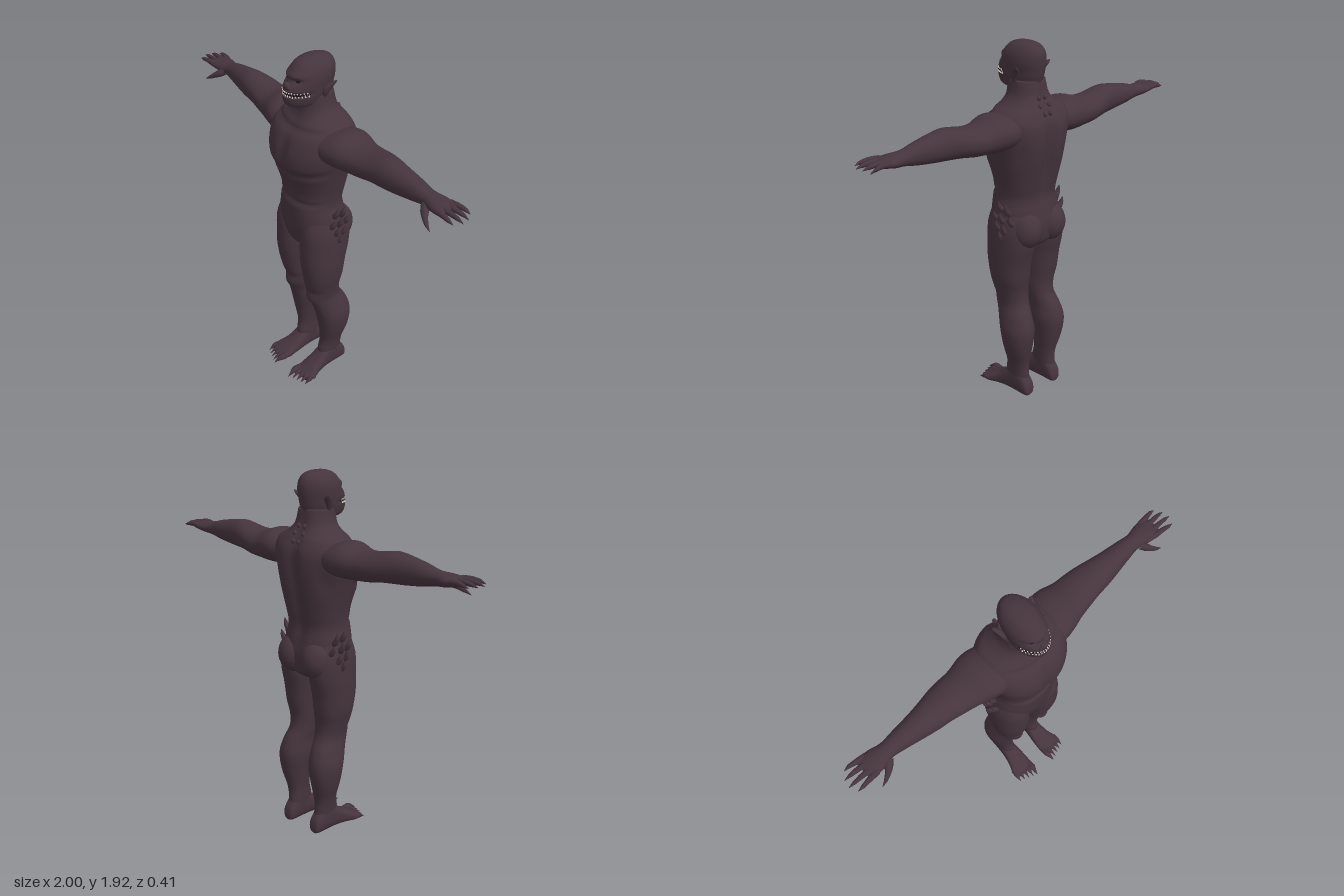
import * as THREE from 'three';
import { mergeVertices } from 'three/addons/utils/BufferGeometryUtils.js';

const bump = (v, centre, width) => Math.exp(-(((v - centre) / width) ** 2));
const V = (x, y, z) => new THREE.Vector3(x, y, z);

// Smooth body through cross-sections [t, uMin, uMax, vMin, vMax] in rising t.
// Axis x: u=y v=z, axis y: u=z v=x, axis z: u=x v=y.
function loft(axis, rows, { power = 2, warp, sides = 44, steps = 6 } = {}) {
  const at = (s) => {
    const i = Math.min(Math.floor(s), rows.length - 2), f = s - i;
    const row = (k) => rows[Math.max(0, Math.min(rows.length - 1, k))];
    return rows[0].map((_, d) => {
      const [a, b, c, e] = [row(i - 1)[d], row(i)[d], row(i + 1)[d], row(i + 2)[d]];
      return b + 0.5 * f * (c - a + f * (2 * a - 5 * b + 4 * c - e + f * (3 * (b - c) + e - a)));
    });
  };
  const place = (t, u, v) => {
    const p = axis === 'x' ? V(t, u, v) : axis === 'y' ? V(v, t, u) : V(u, v, t);
    if (warp) warp(p);
    return p;
  };
  const rounded = (c) => Math.sign(c) * Math.abs(c) ** (2 / power);
  const count = (rows.length - 1) * steps, points = [], index = [];
  for (let i = 0; i <= count; i++) {
    const [t, u0, u1, v0, v1] = at(i / steps);
    for (let j = 0; j < sides; j++) {
      const a = (j / sides) * Math.PI * 2;
      points.push(place(t, (u0 + u1) / 2 + rounded(Math.cos(a)) * (u1 - u0) / 2,
        (v0 + v1) / 2 + rounded(Math.sin(a)) * (v1 - v0) / 2));
      if (i < count) {
        const k = (j + 1) % sides, p = i * sides, q = p + sides;
        index.push(p + j, p + k, q + k, p + j, q + k, q + j);
      }
    }
  }
  // end caps
  [rows[0], rows[rows.length - 1]].forEach(([t, u0, u1, v0, v1], end) => {
    const c = points.push(place(t, (u0 + u1) / 2, (v0 + v1) / 2)) - 1, p = end * count * sides;
    for (let j = 0; j < sides; j++) {
      const k = (j + 1) % sides;
      index.push(c, p + (end ? j : k), p + (end ? k : j));
    }
  });
  const geo = new THREE.BufferGeometry().setFromPoints(points);
  geo.setIndex(index);
  geo.computeVertexNormals();
  return geo;
}

// Curved tube whose radius follows a short list, used for digits and spikes
function taper(points, radii, sides = 10) {
  const segs = 12, curve = new THREE.CatmullRomCurve3(points.map((p) => V(...p)));
  let geo = new THREE.TubeGeometry(curve, segs, 1, sides);
  const pos = geo.attributes.position, p = V(0, 0, 0);
  for (let i = 0; i < pos.count; i++) {
    const f = Math.floor(i / (sides + 1)) / segs, s = f * (radii.length - 1);
    const k = Math.min(Math.floor(s), radii.length - 2);
    const c = curve.getPointAt(f);
    p.fromBufferAttribute(pos, i).sub(c).multiplyScalar(THREE.MathUtils.lerp(radii[k], radii[k + 1], s - k)).add(c);
    pos.setXYZ(i, p.x, p.y, p.z);
  }
  geo.deleteAttribute('uv');
  geo.deleteAttribute('normal');
  geo = mergeVertices(geo, 1e-5);
  geo.computeVertexNormals();
  return geo;
}

function ball(c, r) {
  return new THREE.SphereGeometry(1, 28, 20).scale(...r).translate(...c);
}

function mirrored(geo) {
  const g = geo.clone().scale(-1, 1, 1), ix = g.index.array;
  for (let i = 0; i < ix.length; i += 3) [ix[i], ix[i + 1]] = [ix[i + 1], ix[i]];
  g.computeVertexNormals();
  return g;
}

export function createModel() {
  const root = new THREE.Group();
  root.name = 'creature';
  const material = (name, color) => Object.assign(new THREE.MeshStandardMaterial({ color }), { name });
  const skin = material('dark plum skin', 0x45343c);
  const ivory = material('ivory teeth', 0xd6cec6);
  const dark = material('dark mouth and eyes', 0x1c1317);
  const add = (name, geo, mat = skin) => {
    const mesh = new THREE.Mesh(geo, mat);
    mesh.name = name;
    root.add(mesh);
  };
  const pair = (name, geo, mat) => {
    add('left ' + name, geo, mat);
    add('right ' + name, mirrored(geo), mat);
  };

  // Torso and neck, with chest, belly and spine creases
  add('torso', loft('y', [
    [0.87, -0.11, 0.05, -0.035, 0.035], [0.91, -0.16, 0.10, -0.12, 0.12],
    [1.0, -0.175, 0.12, -0.18, 0.18], [1.08, -0.165, 0.125, -0.175, 0.175],
    [1.15, -0.155, 0.125, -0.16, 0.16], [1.22, -0.168, 0.12, -0.165, 0.165],
    [1.3, -0.185, 0.14, -0.182, 0.182], [1.38, -0.202, 0.172, -0.202, 0.202],
    [1.46, -0.21, 0.172, -0.222, 0.222], [1.54, -0.205, 0.142, -0.225, 0.225],
    [1.595, -0.18, 0.10, -0.195, 0.195], [1.63, -0.157, 0.075, -0.135, 0.135],
    [1.67, -0.135, 0.062, -0.098, 0.098], [1.74, -0.12, 0.06, -0.083, 0.083],
  ], {
    power: 2.3, sides: 64, warp: (p) => {
      const x = Math.abs(p.x), front = THREE.MathUtils.clamp(p.z / 0.06, 0, 1);
      const back = THREE.MathUtils.clamp(-p.z / 0.06, 0, 1);
      p.z -= front * (0.02 * bump(x, 0, 0.022) * bump(p.y, 1.46, 0.11)
        + 0.016 * bump(p.y, 1.345 + x * 0.15, 0.02) + 0.01 * bump(p.y, 1.175, 0.014)
        + 0.006 * bump(x, 0, 0.015) * bump(p.y, 1.25, 0.07)
        + 0.01 * bump(p.y, 1.575 + x * 0.1, 0.014));
      p.z += back * (0.034 * bump(x, 0, 0.032) * bump(p.y, 1.38, 0.24)
        + 0.012 * bump(x, 0.16, 0.03) * bump(p.y, 1.42, 0.08));
    },
  }));
  pair('buttock', ball([0.082, 0.985, -0.105], [0.088, 0.105, 0.095]));

  // Legs
  pair('leg', loft('y', [
    [0.06, -0.15, 0.0, 0.06, 0.14], [0.13, -0.14, 0.005, 0.055, 0.143],
    [0.2, -0.142, -0.008, 0.053, 0.153], [0.3, -0.166, 0.003, 0.042, 0.182],
    [0.4, -0.178, 0.022, 0.03, 0.193], [0.48, -0.158, 0.045, 0.033, 0.178],
    [0.55, -0.12, 0.068, 0.022, 0.165], [0.62, -0.112, 0.083, 0.014, 0.175],
    [0.7, -0.125, 0.10, 0.011, 0.192], [0.8, -0.138, 0.115, 0.005, 0.2],
    [0.9, -0.16, 0.117, 0.002, 0.201], [1.0, -0.16, 0.112, 0.01, 0.195],
    [1.1, -0.12, 0.08, 0.04, 0.165],
  ], {
    power: 2.15, warp: (p) => {
      // kneecap and the hollow below it
      if (p.z > 0) p.z += 0.012 * bump(p.y, 0.54, 0.035) * bump(p.x, 0.095, 0.04)
        - 0.006 * bump(p.y, 0.6, 0.02);
    },
  }));

  // Feet with clawed toes
  pair('foot', loft('z', [
    [-0.167, 0.08, 0.12, 0.02, 0.05], [-0.15, 0.065, 0.135, 0.004, 0.1],
    [-0.08, 0.058, 0.143, 0, 0.165], [-0.02, 0.054, 0.147, 0, 0.135],
    [0.04, 0.048, 0.158, 0, 0.088], [0.1, 0.046, 0.178, 0, 0.055],
    [0.14, 0.055, 0.172, 0.004, 0.036],
  ], { power: 2.4 }));
  for (let i = 0; i < 5; i++) {
    const x = 0.064 + i * 0.026, tip = 0.203 - 0.01 * i, r = i ? 0.0135 : 0.019;
    pair('toe ' + (i + 1), taper([[x, 0.025, 0.09], [x, 0.028, tip - 0.045], [x + 0.003, 0.018, tip - 0.02],
      [x + 0.004, 0.008, tip]], [r, r, r * 1.05, r * 0.5, 0.001]));
  }

  // Arms, thick at shoulder, upper arm and forearm
  pair('arm', loft('x', [
    [0.1, 1.46, 1.59, -0.14, 0.07], [0.18, 1.435, 1.6, -0.17, 0.09],
    [0.25, 1.43, 1.61, -0.172, 0.08], [0.33, 1.435, 1.588, -0.157, 0.055],
    [0.4, 1.442, 1.587, -0.152, 0.042], [0.46, 1.452, 1.597, -0.142, 0.033],
    [0.53, 1.457, 1.607, -0.125, 0.026], [0.6, 1.463, 1.6, -0.114, 0.014],
    [0.7, 1.477, 1.583, -0.104, -0.005], [0.77, 1.492, 1.565, -0.098, -0.014],
    [0.83, 1.5, 1.56, -0.11, 0.0], [0.88, 1.512, 1.553, -0.112, 0.006],
    [0.905, 1.52, 1.545, -0.105, 0.0],
  ], { power: 2.1 }));
  // Fingers [root z, tip z, tip x] and thumb
  [[-0.098, -0.108, 0.968], [-0.067, -0.073, 0.993], [-0.035, -0.035, 1.0], [-0.006, 0.004, 0.98]]
    .forEach(([z0, z1, x], i) => pair('finger ' + (i + 1), taper(
      [[0.86, 1.535, z0], [0.91, 1.54, (z0 + z1) / 2], [x - 0.03, 1.537, z1], [x, 1.53, z1]],
      [0.015, 0.0145, 0.0125, 0.0095, 0.001])));
  pair('thumb', taper([[0.785, 1.518, -0.025], [0.82, 1.495, 0.01], [0.855, 1.472, 0.03], [0.885, 1.455, 0.038]],
    [0.02, 0.02, 0.014, 0.009, 0.001]));

  // Head with heavy brow, eye sockets and mouth crease
  add('head', loft('y', [
    [1.688, -0.03, 0.09, -0.045, 0.045], [1.705, -0.1, 0.132, -0.07, 0.07],
    [1.745, -0.122, 0.145, -0.082, 0.082], [1.785, -0.132, 0.14, -0.086, 0.086],
    [1.83, -0.138, 0.118, -0.088, 0.088], [1.87, -0.134, 0.098, -0.08, 0.08],
    [1.9, -0.115, 0.068, -0.06, 0.06], [1.915, -0.08, 0.03, -0.035, 0.035],
    [1.92, -0.05, 0, -0.012, 0.012],
  ], {
    steps: 8, sides: 64, warp: (p) => {
      const x = Math.abs(p.x);
      if (p.z > 0.03) p.z += 0.01 * bump(p.y, 1.85, 0.013) * bump(x, 0.035, 0.04)
        - 0.016 * bump(p.y, 1.825, 0.012) * bump(x, 0.036, 0.02);
      if (p.z > 0.02) {
        const s = 1 - 0.06 * bump(p.y, 1.766, 0.01) * Math.min(1, (p.z - 0.02) / 0.03);
        p.x *= s;
        p.z *= s;
      }
    },
  }));
  add('nose', ball([0, 1.802, 0.127], [0.022, 0.018, 0.018]));
  pair('nostril wing', ball([0.017, 1.797, 0.128], [0.011, 0.01, 0.012]));
  pair('eye', ball([0.036, 1.826, 0.091], [0.011, 0.006, 0.009]), dark);

  // Mouth strip and two rows of pointed teeth around the muzzle
  const lip = (a, k, y) => V(0.085 * k * Math.sin(a), y, 0.008 + 0.134 * k * Math.cos(a));
  const strip = [];
  for (let i = 0; i <= 24; i++) strip.push(lip((i / 24 - 0.5) * 2.5, 0.962, 1.766).toArray());
  add('mouth line', taper(strip, [0.002, 0.006, 0.006, 0.006, 0.002], 8), dark);
  for (let i = -8; i <= 8; i++) {
    for (const up of [1, -1]) {
      const a = (i + (up > 0 ? 0 : 0.4)) * 0.14, fang = Math.abs(i) === 3 ? 1.5 : 1;
      const p = lip(a, 0.99, 1.766 + up * 0.004);
      const tooth = new THREE.ConeGeometry(0.0042, 0.014 * fang, 6);
      if (up > 0) tooth.rotateX(Math.PI);
      add('tooth', tooth.translate(p.x, p.y, p.z), ivory);
    }
  }

  // Pointed ears swept outwards and back
  pair('ear', loft('y', [
    [1.735, -0.04, -0.02, 0.078, 0.09], [1.76, -0.052, -0.012, 0.075, 0.1],
    [1.785, -0.07, -0.02, 0.078, 0.108], [1.803, -0.078, -0.042, 0.092, 0.114],
    [1.815, -0.075, -0.066, 0.111, 0.117],
  ], { sides: 20 }));

  // Horny spikes on the hips [y, z, length]
  [[1.1, -0.03, 0.05], [1.09, -0.075, 0.055], [1.05, -0.005, 0.045], [1.045, -0.05, 0.055], [1.04, -0.1, 0.045],
    [1.0, -0.025, 0.05], [0.99, -0.07, 0.05], [0.95, -0.045, 0.045]].forEach(([y, z, len], i) => {
    const x = 0.183 - Math.max(0, y - 1.02) * 0.2 - Math.max(0, -z - 0.06) * 0.4;
    pair('hip spike ' + (i + 1), taper([[x - 0.01, y - 0.02, z], [x + 0.02, y + len * 0.3, z],
      [x + 0.028, y + len, z - 0.004]], [0.014, 0.016, 0.011, 0.001], 8));
  });
  // Small knobs down the nape
  [[0.02, 1.66, -0.134], [0.03, 1.625, -0.153], [0.018, 1.59, -0.176]].forEach((c, i) =>
    pair('nape knob ' + (i + 1), ball(c, [0.01, 0.013, 0.011])));
  return root;
}
